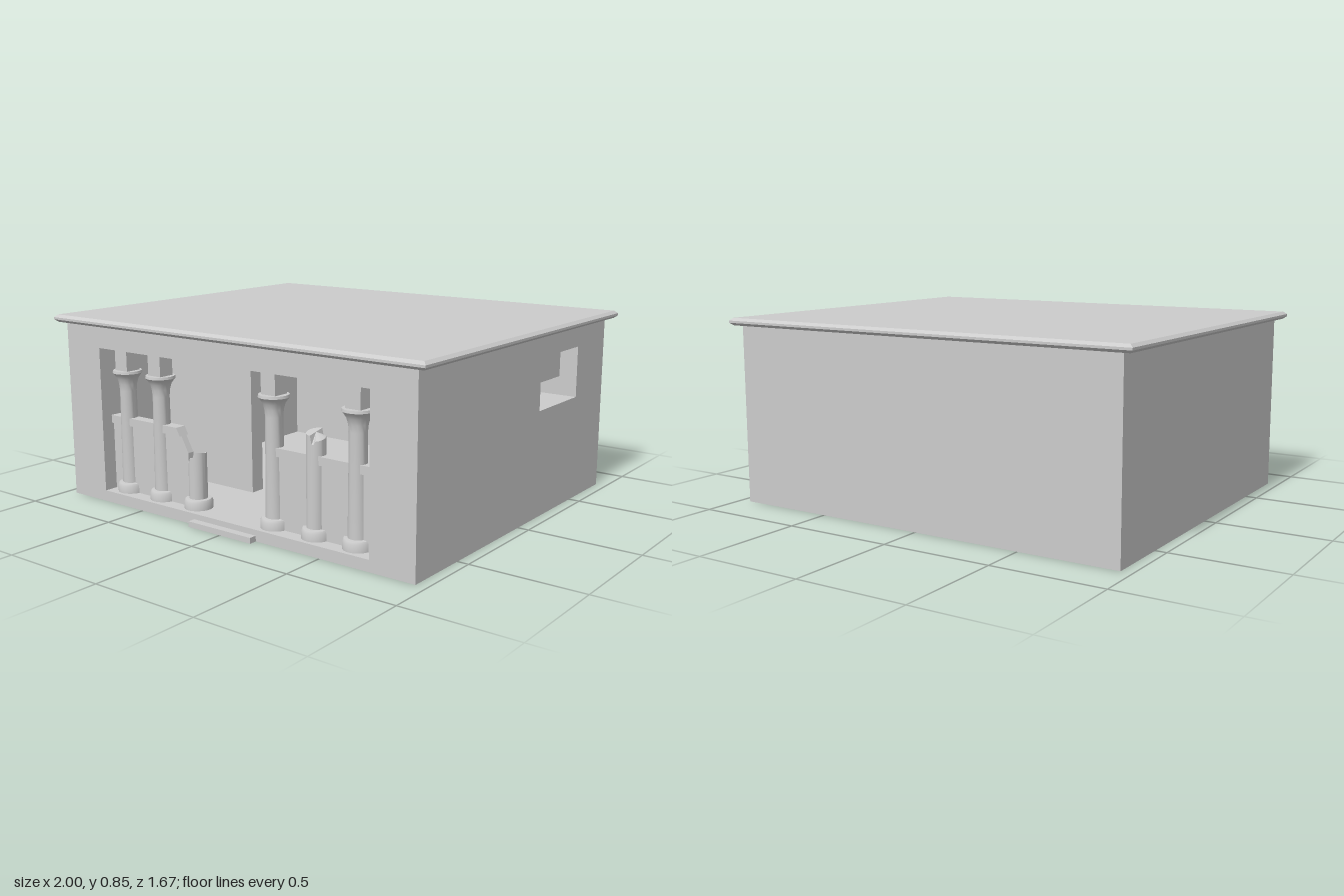
import * as THREE from 'three';
import { toCreasedNormals } from 'three/addons/utils/BufferGeometryUtils.js';

const grey = new THREE.MeshStandardMaterial({ color: 0xcccccc });
const FLOOR = 0.05, CEILING = 0.712, PORCH_Z = 0.72;

function add(parent, name, geometry) {
  const mesh = new THREE.Mesh(geometry, grey);
  mesh.name = name;
  parent.add(mesh);
  return mesh;
}

// Box given by its minimum and maximum corners
function block(parent, name, [x0, y0, z0], [x1, y1, z1]) {
  const mesh = add(parent, name, new THREE.BoxGeometry(x1 - x0, y1 - y0, z1 - z0));
  mesh.position.set((x0 + x1) / 2, (y0 + y1) / 2, (z0 + z1) / 2);
  return mesh;
}

// Outline in x and y, extruded along z
function extrude(points, depth, options = {}) {
  const shape = new THREE.Shape(points.map(([x, y]) => new THREE.Vector2(x, y)));
  return new THREE.ExtrudeGeometry(shape, { depth, bevelEnabled: false, ...options });
}

function lathe(points) {
  const profile = points.map(([r, y]) => new THREE.Vector2(r, y));
  return toCreasedNormals(new THREE.LatheGeometry(profile, 24), 0.6);
}

const BASE = [[0, FLOOR], [0.063, FLOOR], [0.063, 0.083], [0.057, 0.093], [0.041, 0.095]];

// Whole column: base, shaft, flared capital and square block up to the ceiling
function column(parent, x) {
  const group = new THREE.Group();
  group.name = 'column';
  group.position.set(x, 0, PORCH_Z);
  add(group, 'columnShaft', lathe([
    ...BASE, [0.037, 0.52], [0.04, 0.55], [0.047, 0.575], [0.058, 0.592],
    [0.066, 0.601], [0.064, 0.612], [0, 0.612],
  ]));
  block(group, 'capitalBlock', [-0.037, 0.61, -0.037], [0.037, CEILING, 0.037]);
  parent.add(group);
}

// Broken column: the top ring follows a jagged height rule
function brokenColumn(parent, x, heightAt) {
  const group = new THREE.Group();
  group.name = 'brokenColumn';
  group.position.set(x, 0, PORCH_Z);
  add(group, 'brokenBase', lathe([...BASE, [0, 0.095]]));
  const geometry = new THREE.CylinderGeometry(0.04, 0.041, 1, 32, 1);
  const p = geometry.attributes.position;
  for (let i = 0; i < p.count; i++) {
    p.setY(i, p.getY(i) > 0 ? heightAt(p.getX(i), p.getZ(i)) : 0.09);
  }
  add(group, 'brokenShaft', toCreasedNormals(geometry, 0.6));
  parent.add(group);
}

export function createModel() {
  const model = new THREE.Group();
  model.name = 'ruinedHall';

  // Shell, open at the front
  block(model, 'floor', [-0.95, 0, -0.8], [0.95, FLOOR, 0.8]);
  block(model, 'ceiling', [-0.95, CEILING, -0.8], [0.95, 0.815, 0.8]);
  block(model, 'backWall', [-0.95, FLOOR, -0.8], [0.95, CEILING, -0.59]);
  block(model, 'rightWall', [-0.95, FLOOR, -0.59], [-0.74, CEILING, 0.8]);

  // Side wall with the stepped opening
  const windowWall = extrude([
    [-0.8, FLOOR], [0.59, FLOOR], [0.59, CEILING], [0.52, CEILING], [0.52, 0.48],
    [0.16, 0.48], [0.16, 0.605], [0.34, 0.605], [0.34, CEILING], [-0.8, CEILING],
  ], 0.21);
  windowWall.rotateY(Math.PI / 2).translate(0.74, 0, 0);
  add(model, 'leftWallWithWindow', windowWall);

  block(model, 'innerWall', [-0.74, FLOOR, 0.35], [-0.18, CEILING, 0.42]);
  block(model, 'frontStep', [-0.18, 0, 0.8], [0.17, 0.025, 0.835]);

  // Roof slab with bevelled edges
  const roof = extrude([[-0.985, -0.82], [0.985, -0.82], [0.985, 0.82], [-0.985, 0.82]], 0.01, {
    bevelEnabled: true, bevelSize: 0.015, bevelThickness: 0.012, bevelSegments: 1,
  });
  roof.rotateX(-Math.PI / 2).translate(0, 0.823, 0);
  add(model, 'roof', roof);

  // Colonnade
  for (const x of [-0.65, -0.44, 0.21, 0.63]) column(model, x);
  brokenColumn(model, -0.228, (x, z) => (x < -0.012 ? 0.25 : x < 0.008 ? 0.272 : 0.3) + z * 0.15);
  brokenColumn(model, 0.425, (x, z) => (x < 0.004 ? 0.487 : x < 0.02 ? 0.45 : 0.463) - z * 0.2);

  // Low walls between the columns, the first one broken off at a slope
  const lowWall = (name, points, halfDepth) => {
    add(model, name, extrude(points, 2 * halfDepth)).position.z = PORCH_Z - halfDepth;
  };
  lowWall('brokenLowWall', [[-0.74, FLOOR], [-0.262, FLOOR], [-0.268, 0.29], [-0.308, 0.362], [-0.74, 0.362]], 0.015);
  lowWall('brokenRail', [[-0.74, 0.36], [-0.307, 0.36], [-0.327, 0.396], [-0.74, 0.396]], 0.026);
  lowWall('lowWall', [[0.21, FLOOR], [0.74, FLOOR], [0.74, 0.362], [0.21, 0.362]], 0.015);
  lowWall('rail', [[0.21, 0.36], [0.74, 0.36], [0.74, 0.396], [0.21, 0.396]], 0.026);

  return model;
}
